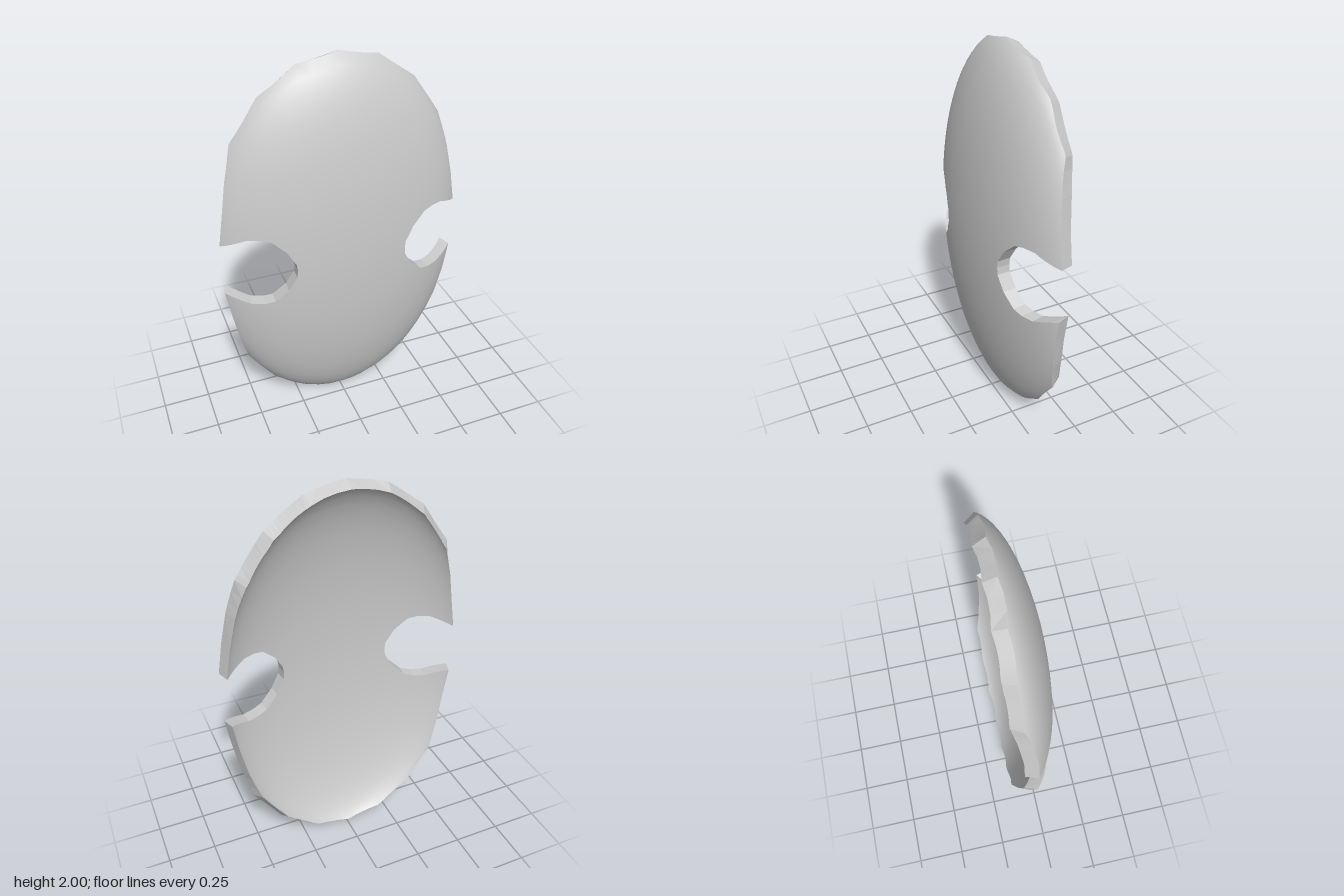
import * as THREE from 'three';

// Ellipsoid that the domed face is cut from (half axes and centre)
const A = 0.68, B = 1.02, C = 0.265, Z0 = -0.125, THICK = 0.068;
const ROWS = 18, STEPS = 3;

// One quarter of the outline, heights measured from the middle of the shield
const RIM = [[0, 1], [0.2, 0.96], [0.385, 0.83], [0.525, 0.63], [0.57, 0.46], [0.6, 0.3], [0.626, 0.14]];
const NOTCH = [[0, 0], [0.286, 0], [0.29, 0.038], [0.333, 0.112], [0.4, 0.175], [0.45, 0.188], [0.51, 0.187], [0.6, 0.15], [0.626, 0.14]];

function heightAt(line, x) {
  for (let i = 1; i < line.length; i++) {
    const [x0, y0] = line[i - 1], [x1, y1] = line[i];
    if (x <= x1) return y0 + (y1 - y0) * (x - x0) / (x1 - x0);
  }
  return line[line.length - 1][1];
}

// Columns pass through every outline corner, with a few steps between
function makeColumns() {
  const marks = [...new Set([...RIM, ...NOTCH].map(p => p[0]))].sort((a, b) => a - b);
  const xs = [0];
  for (let i = 1; i < marks.length; i++) {
    const n = marks[i] - marks[i - 1] > 0.04 ? STEPS : 1;
    for (let k = 1; k <= n; k++) xs.push(marks[i - 1] + (marks[i] - marks[i - 1]) * k / n);
  }
  return xs;
}

// Front point, back point and smooth normal of the shell
function shellPoint(x, y) {
  const s = Math.sqrt(Math.max(0.03, 1 - (x / A) ** 2 - (y / B) ** 2));
  const front = new THREE.Vector3(x, y, Z0 + C * s);
  const normal = new THREE.Vector3(x / A ** 2, y / B ** 2, s / C).normalize();
  const inward = new THREE.Vector3(x / A ** 2, y / B ** 2, 2.8 * s / C).setLength(THICK);
  return { front, back: front.clone().sub(inward), normal };
}

function createBuilder() {
  const pos = [], nor = [];
  return {
    // Add a triangle mirrored into quarter (sx, sy); flat if no normals are given
    tri(pts, normals, sx, sy) {
      const order = sx * sy > 0 ? [0, 1, 2] : [0, 2, 1];
      const m = new THREE.Vector3(sx, sy, 1);
      const p = order.map(i => pts[i].clone().multiply(m));
      const flat = p[1].clone().sub(p[0]).cross(p[2].clone().sub(p[0]));
      if (flat.length() < 1e-9) return;
      flat.normalize();
      order.forEach((i, k) => {
        const n = normals ? normals[i].clone().multiply(m) : flat;
        pos.push(p[k].x, p[k].y + 1, p[k].z);
        nor.push(n.x, n.y, n.z);
      });
    },
    quad(p, n, sx, sy) {
      for (const t of [[0, 1, 2], [0, 2, 3]]) this.tri(t.map(i => p[i]), n && t.map(i => n[i]), sx, sy);
    },
    mesh(name) {
      const g = new THREE.BufferGeometry();
      g.setAttribute('position', new THREE.Float32BufferAttribute(pos, 3));
      g.setAttribute('normal', new THREE.Float32BufferAttribute(nor, 3));
      const mesh = new THREE.Mesh(g, new THREE.MeshStandardMaterial({ color: 0xcccccc }));
      mesh.name = name;
      return mesh;
    }
  };
}

export function createModel() {
  const grid = makeColumns().map(x => {
    const low = heightAt(NOTCH, x), high = heightAt(RIM, x);
    return Array.from({ length: ROWS + 1 }, (_, j) => shellPoint(x, low + (high - low) * j / ROWS));
  });
  const face = createBuilder(), back = createBuilder(), rim = createBuilder(), notch = createBuilder();

  for (const sx of [1, -1]) for (const sy of [1, -1]) {
    for (let i = 0; i < grid.length - 1; i++) {
      const a = grid[i], b = grid[i + 1];
      // Domed front and hollow back
      for (let j = 0; j < ROWS; j++) {
        const c = [a[j], b[j], b[j + 1], a[j + 1]];
        face.quad(c.map(v => v.front), c.map(v => v.normal), sx, sy);
        const r = [...c].reverse();
        back.quad(r.map(v => v.back), r.map(v => v.normal.clone().negate()), sx, sy);
      }
      // Outer edge
      const p = a[ROWS], q = b[ROWS];
      rim.quad([p.front, q.front, q.back, p.back], null, sx, sy);
      // Edge of the side cut-out
      const u = a[0], v = b[0];
      if (u.front.x > 0.285) notch.quad([u.front, u.back, v.back, v.front], null, sx, sy);
    }
  }

  const shield = new THREE.Group();
  shield.name = 'shield';
  shield.add(face.mesh('frontFace'), back.mesh('backFace'), rim.mesh('outerRim'), notch.mesh('sideNotchEdges'));
  return shield;
}
